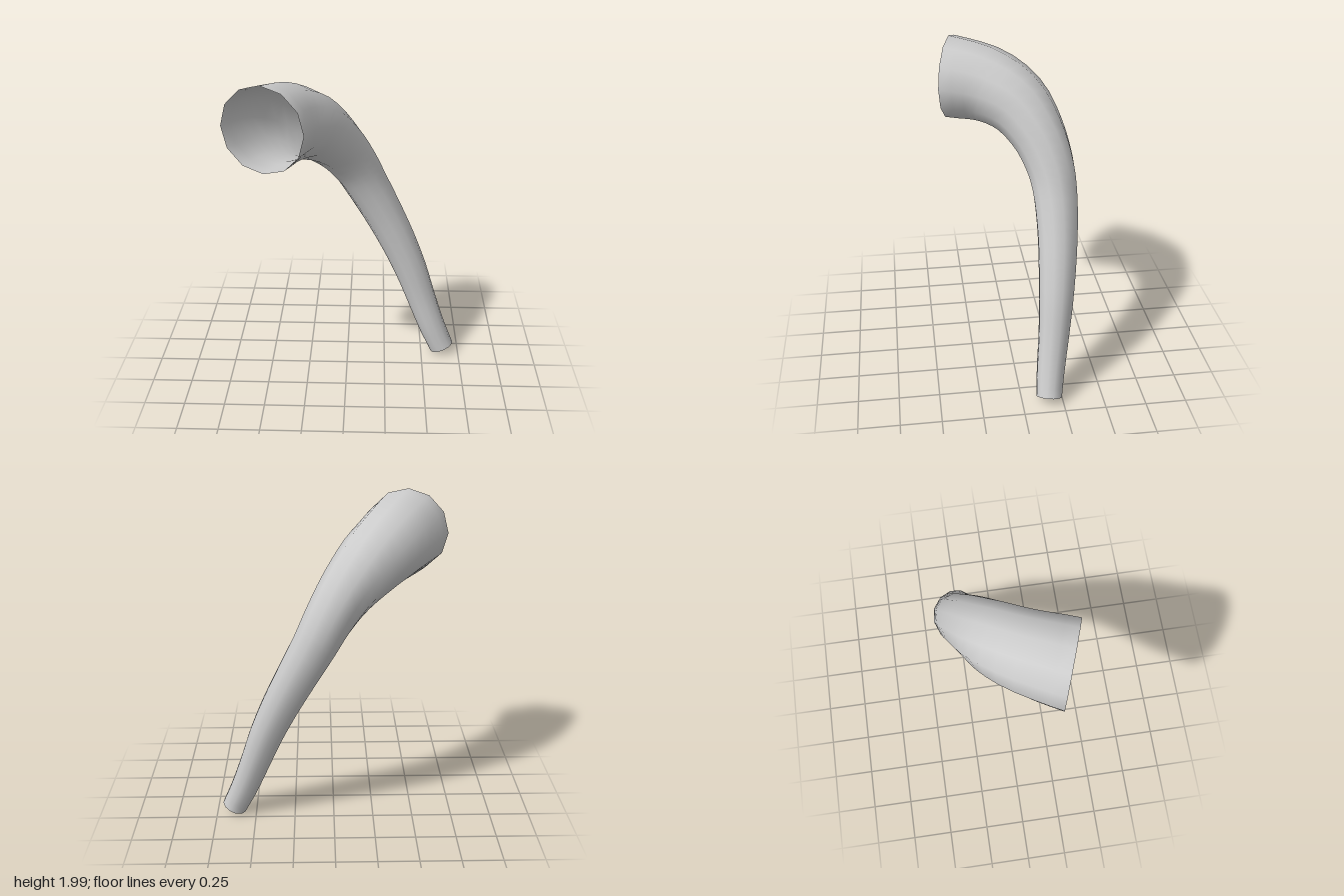
import * as THREE from 'three';

// Stations along the horn from tip to mouth: x, y, z, radius
const STATIONS = [
  [0.64, 0.04, -0.165, 0.08],
  [0.567, 0.2, -0.185, 0.087],
  [0.49, 0.4, -0.213, 0.095],
  [0.415, 0.6, -0.235, 0.106],
  [0.325, 0.8, -0.254, 0.116],
  [0.222, 1.0, -0.267, 0.126],
  [0.112, 1.2, -0.265, 0.138],
  [0.035, 1.34, -0.242, 0.15],
  [-0.075, 1.5, -0.18, 0.172],
  [-0.22, 1.64, -0.07, 0.208],
  [-0.36, 1.715, 0.095, 0.237],
  [-0.472, 1.737, 0.315, 0.26],
];
const SIDES = 12;
const RINGS = 33;

// Open tapered tube swept along the stations
function hornGeometry() {
  const path = new THREE.CatmullRomCurve3(STATIONS.map(([x, y, z]) => new THREE.Vector3(x, y, z)));
  const radii = new THREE.SplineCurve(STATIONS.map((s, i) => new THREE.Vector2(i, s[3])));
  const across = new THREE.Vector3(0.943, 0, 0.333);
  const mouthAxis = new THREE.Vector3(-0.333, 0, 0.943);
  const positions = [];
  const index = [];

  for (let i = 0; i <= RINGS; i++) {
    const t = i / RINGS;
    const centre = path.getPoint(t);
    const radius = radii.getPoint(t).y;
    const axis = path.getTangent(t);
    // ease the last rings into the upright plane of the mouth
    axis.lerp(mouthAxis, THREE.MathUtils.smoothstep(t, 0.85, 1)).normalize();
    const u = across.clone().addScaledVector(axis, -across.dot(axis)).normalize();
    const v = new THREE.Vector3().crossVectors(axis, u);
    for (let j = 0; j < SIDES; j++) {
      const a = (j / SIDES) * Math.PI * 2;
      const p = centre.clone()
        .addScaledVector(u, radius * Math.cos(a))
        .addScaledVector(v, radius * Math.sin(a));
      positions.push(p.x, p.y, p.z);
      if (i < RINGS) {
        const k = i * SIDES + j;
        const next = i * SIDES + ((j + 1) % SIDES);
        index.push(k, next, k + SIDES, next, next + SIDES, k + SIDES);
      }
    }
  }

  const geometry = new THREE.BufferGeometry();
  geometry.setAttribute('position', new THREE.Float32BufferAttribute(positions, 3));
  geometry.setIndex(index);
  geometry.computeVertexNormals();
  return geometry;
}

export function createModel() {
  const group = new THREE.Group();
  group.name = 'curvedHorn';
  const material = new THREE.MeshStandardMaterial({ color: 0xcccccc, side: THREE.DoubleSide });
  const horn = new THREE.Mesh(hornGeometry(), material);
  horn.name = 'hornShell';
  group.add(horn);
  return group;
}
